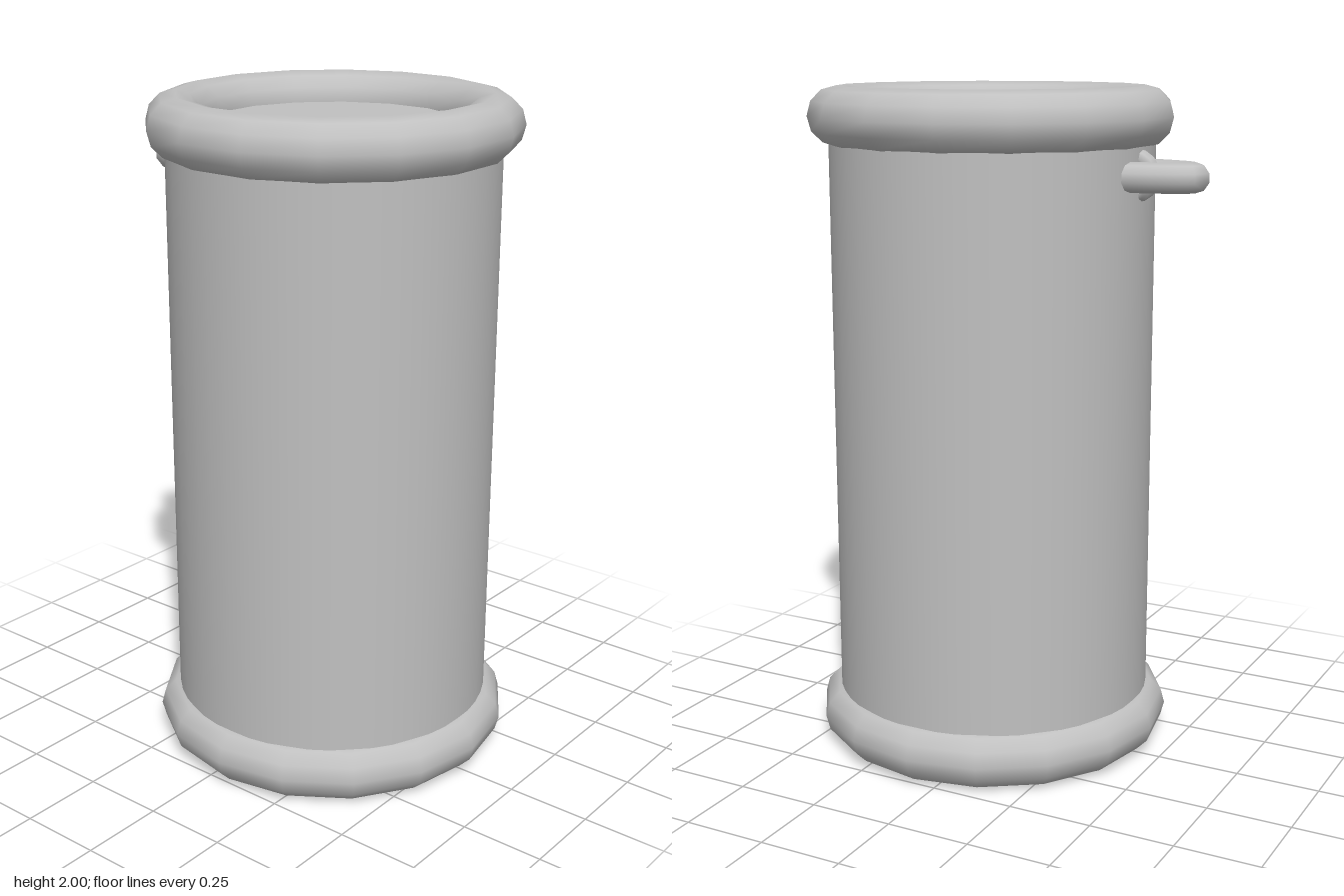
import * as THREE from 'three';

export function createModel() {
  const root = new THREE.Group();
  root.name = 'canister';
  const metal = new THREE.MeshStandardMaterial({ color: 0xc0c0c0 });
  metal.name = 'grey metal';

  const axisX = 0.07; // the body sits off centre because of the side loop
  const add = (name, geometry, x, y, z = 0) => {
    const mesh = new THREE.Mesh(geometry, metal);
    mesh.name = name;
    mesh.position.set(x, y, z);
    root.add(mesh);
    return mesh;
  };

  // Straight body; its end discs are the recessed lids
  add('body', new THREE.CylinderGeometry(0.48, 0.48, 1.83, 48), axisX, 1.0);

  // Rounded 16-sided rims, staggered by half a side
  const rim = (name, y, turn) => {
    const geometry = new THREE.TorusGeometry(0.453, 0.087, 12, 16);
    geometry.rotateX(Math.PI / 2);
    geometry.rotateY(turn);
    add(name, geometry, axisX, y);
  };
  rim('topRim', 1.913, Math.PI / 16);
  rim('bottomRim', 0.092, 0);

  // V-shaped loop on the right side, ends sunk into the body
  const tip = new THREE.CurvePath();
  const points = [
    [-0.38, -0.075], [-0.46, -0.06], [-0.54, -0.032], [-0.57, 0],
    [-0.54, 0.032], [-0.46, 0.06], [-0.38, 0.075],
  ].map(([x, z]) => new THREE.Vector3(x, 0, z));
  const path = new THREE.CatmullRomCurve3(points);
  add('sideLoop', new THREE.TubeGeometry(path, 20, 0.043, 10), 0, 1.755);

  // Small upright staple holding the loop
  add('staple', new THREE.TorusGeometry(0.05, 0.026, 8, 16), -0.39, 1.755);

  return root;
}
